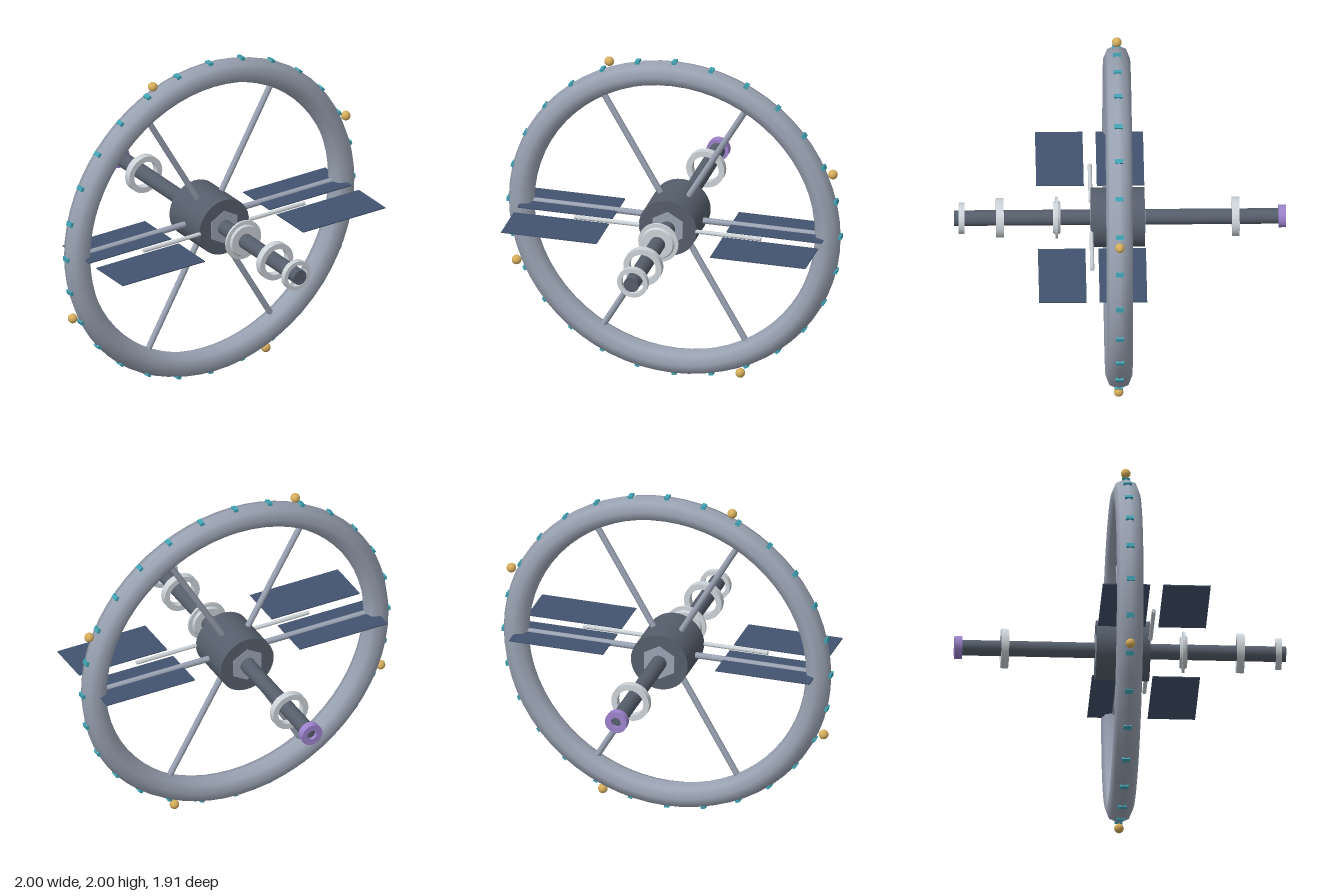
import * as THREE from 'three';

const mat = (color, extra = {}) => new THREE.MeshStandardMaterial({ color, ...extra });

export function createModel() {
  const station = new THREE.Group();
  station.name = 'ringStation';

  const hull = mat(0x9aa3b3);
  const dark = mat(0x555e6b);
  const pale = mat(0xccd3d8);
  const panelBlue = mat(0x43536f);
  const teal = mat(0x3fa3b3);
  const amber = mat(0xd6ae5c);
  const violet = mat(0x9c82cc);

  const CY = 1;        // height of the main axis
  const WZ = 0.013;    // plane of the wheel
  const R = 0.915, TUBE = 0.077;

  const add = (name, geometry, material, x, y, z) => {
    const mesh = new THREE.Mesh(geometry, material);
    mesh.name = name;
    mesh.position.set(x, y, z);
    station.add(mesh);
    return mesh;
  };

  // Cylinder along z between two stations
  const axial = (name, r, z0, z1, material, sides = 32) =>
    add(name, new THREE.CylinderGeometry(r, r, z1 - z0, sides).rotateX(Math.PI / 2),
      material, 0, CY, (z0 + z1) / 2);

  // Flat-sided collar around the axis, with an open middle
  const collar = (name, inner, outer, z, depth, material) => {
    const shape = new THREE.Shape().absarc(0, 0, outer, 0, Math.PI * 2);
    shape.holes.push(new THREE.Path().absarc(0, 0, inner, 0, Math.PI * 2, true));
    const geo = new THREE.ExtrudeGeometry(shape, { depth, bevelEnabled: false, curveSegments: 28 });
    return add(name, geo.translate(0, 0, -depth / 2), material, 0, CY, z);
  };

  // Habitat wheel
  add('habitatWheel', new THREE.TorusGeometry(R, TUBE, 8, 64), hull, 0, CY, WZ);

  // Windows around the rim
  const windowGeo = new THREE.BoxGeometry(0.022, 0.026, 0.046);
  for (let i = 0; i < 28; i++) {
    const a = (i / 28) * Math.PI * 2;
    const w = add('rimWindow', windowGeo, teal, Math.cos(a) * 0.988, CY + Math.sin(a) * 0.988, WZ);
    w.rotation.z = a;
  }

  // Beacons on the rim
  const beaconGeo = new THREE.SphereGeometry(0.028, 16, 12);
  for (let i = 0; i < 4; i++) {
    const a = Math.PI / 8 + (i * Math.PI) / 2;
    add('beacon', beaconGeo, amber, Math.cos(a) * 1.024, CY + Math.sin(a) * 1.024, WZ);
  }

  // Spokes
  const spokeGeo = new THREE.CylinderGeometry(0.018, 0.018, 0.72, 12)
    .rotateZ(-Math.PI / 2).translate(0.5, 0, 0);
  for (let i = 0; i < 6; i++) {
    const s = add('spoke', spokeGeo, hull, 0, CY, WZ);
    s.rotation.z = (i * Math.PI) / 3;
  }

  // Hub with six-sided end plates, and the long axle
  axial('hub', 0.172, -0.142, 0.168, dark, 40);
  axial('hubFrontPlate', 0.105, 0.166, 0.171, hull, 6);
  axial('hubBackPlate', 0.105, -0.145, -0.14, hull, 6);
  axial('axle', 0.045, -0.935, 0.957, dark, 24);

  // Collars along the axle
  collar('frontCollar', 0.08, 0.114, 0.693, 0.044, pale);
  collar('noseCollar', 0.066, 0.091, 0.914, 0.034, pale);
  collar('rearCollar', 0.08, 0.114, -0.667, 0.044, pale);
  collar('dockingPort', 0.03, 0.066, -0.935, 0.044, violet);

  // Flanged bearing in front of the hub
  const flange = [
    [0.04, -0.021], [0.09, -0.021], [0.098, -0.008], [0.12, -0.007],
    [0.12, 0.007], [0.098, 0.008], [0.09, 0.021], [0.04, 0.021],
  ].map(([r, h]) => new THREE.Vector2(r, h));
  const facets = new THREE.LatheGeometry(flange, 32).rotateX(Math.PI / 2);
  add('bearing', facets.toNonIndexed(), mat(0xccd3d8, { side: THREE.DoubleSide }), 0, CY, 0.365)
    .geometry.computeVertexNormals();

  // Solar panels and booms, mirrored left and right
  const panelGeo = new THREE.BoxGeometry(0.57, 0.006, 0.274);
  const boomGeo = new THREE.CylinderGeometry(0.012, 0.012, 0.39, 10).rotateZ(Math.PI / 2);
  for (const side of [1, -1]) {
    add('innerSolarPanel', panelGeo, panelBlue, side * 0.625, CY, -0.008);
    add('outerSolarPanel', panelGeo, panelBlue, side * 0.625, CY, 0.341);
    add('boom', boomGeo, pale, side * 0.363, CY, 0.167);
  }

  return station;
}
